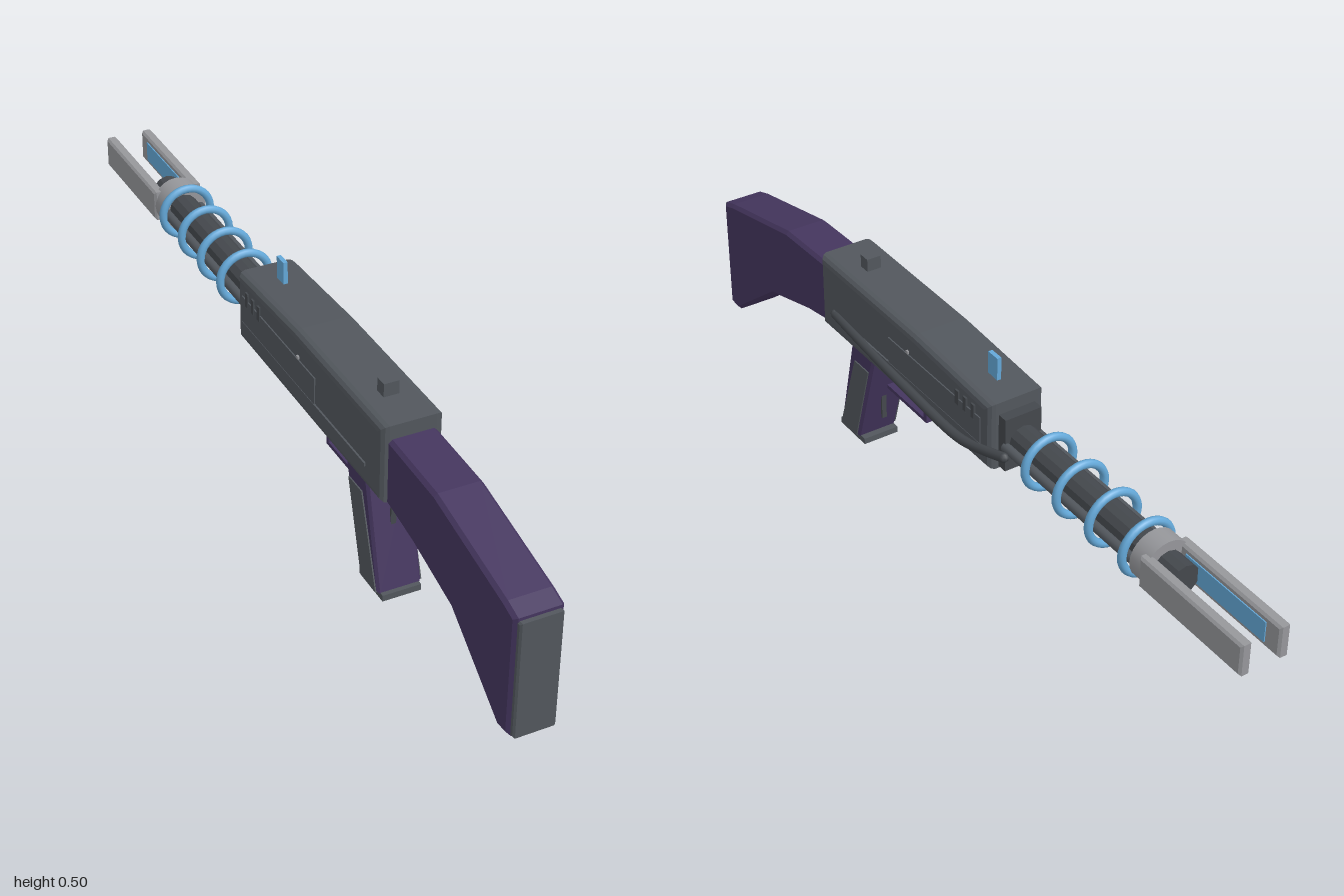
import * as THREE from 'three';

const CX = -0.012; // centre line of the body
const AXIS_Y = 0.35; // height of the barrel axis

export function createModel() {
  const root = new THREE.Group();
  root.name = 'rifle';
  const mat = (name, color) => {
    const m = new THREE.MeshStandardMaterial({ color });
    m.name = name;
    return m;
  };
  const steel = mat('gunmetal', 0x52575d);
  const dark = mat('darkMetal', 0x44484d);
  const purple = mat('purple', 0x45365f);
  const blue = mat('blue', 0x64a8d8);
  const silver = mat('silver', 0x96979b);

  const add = (name, geo, m, x = 0, y = 0, z = 0) => {
    const mesh = new THREE.Mesh(geo, m);
    mesh.name = name;
    mesh.position.set(x, y, z);
    root.add(mesh);
    return mesh;
  };
  // Box given by its limits on each axis
  const box = (name, m, [x0, x1], [y0, y1], [z0, z1]) =>
    add(name, new THREE.BoxGeometry(x1 - x0, y1 - y0, z1 - z0), m,
      (x0 + x1) / 2, (y0 + y1) / 2, (z0 + z1) / 2);
  // Side profile of [z, y] points, extruded across x with bevelled edges
  const profile = (name, m, pts, width, bevel = 0, segs = 1, x = CX) => {
    const geo = new THREE.ExtrudeGeometry(new THREE.Shape(pts.map(p => new THREE.Vector2(...p))), {
      depth: width - 2 * bevel, bevelEnabled: bevel > 0, bevelThickness: bevel,
      bevelSize: bevel, bevelOffset: -bevel, bevelSegments: segs,
    });
    geo.translate(0, 0, -(width - 2 * bevel) / 2).rotateY(-Math.PI / 2);
    return add(name, geo, m, x);
  };
  // Cylinder lying along z
  const rod = (name, m, r, z0, z1, x = CX, y = AXIS_Y, sides = 16) =>
    add(name, new THREE.CylinderGeometry(r, r, Math.abs(z1 - z0), sides).rotateX(Math.PI / 2),
      m, x, y, (z0 + z1) / 2);

  // Stock and butt plate
  profile('stock', purple, [[0.99, 0.063], [0.99, 0.347], [0.95, 0.36], [0.68, 0.42], [0.48, 0.427],
    [0.48, 0.272], [0.6, 0.25], [0.76, 0.205], [0.95, 0.06]], 0.108, 0.008);
  profile('buttPlate', steel, [[1, 0.063], [1, 0.34], [0.98, 0.34], [0.98, 0.063]], 0.094, 0.004);

  // Receiver body with rounded edges
  profile('receiver', steel, [[0.495, 0.275], [0.495, 0.459], [0.1, 0.459], [-0.19, 0.444],
    [-0.19, 0.279]], 0.14, 0.018, 3);
  box('receiverNose', dark, [CX - 0.045, CX + 0.045], [0.285, 0.415], [-0.215, -0.18]);

  // Raised side panels, slots and pin
  for (const s of [-1, 1]) {
    const side = (name, m, y, z, t = 0.004) => {
      const a = CX + s * 0.068, b = CX + s * (0.07 + t);
      return box(name, m, [Math.min(a, b), Math.max(a, b)], y, z);
    };
    side('sidePanel', steel, [0.335, 0.4], [-0.16, 0.2], 0.003);
    side('sideRib', steel, [0.328, 0.336], [-0.16, 0.43]);
    for (let i = 0; i < 3; i++) {
      side('sideSlot', dark, [0.385, 0.42], [-0.14 + i * 0.03, -0.128 + i * 0.03], 0.004);
    }
    side('sidePin', silver, [0.402, 0.409], [0.117, 0.125], 0.004);
  }

  // Curved operating rod on the model's left side
  const path = new THREE.CatmullRomCurve3([
    [0.057, 0.332, 0.435], [0.064, 0.327, 0.3], [0.07, 0.318, 0.08],
    [0.07, 0.315, -0.1], [0.062, 0.33, -0.18], [0.054, 0.345, -0.24],
  ].map(p => new THREE.Vector3(...p)));
  add('operatingRod', new THREE.TubeGeometry(path, 30, 0.011, 8), dark);
  for (const i of [0, 1]) {
    add('rodCap', new THREE.SphereGeometry(0.011, 8, 6), dark).position.copy(path.getPoint(i));
  }

  // Sights
  box('rearSight', steel, [-0.029, 0.006], [0.45, 0.49], [0.372, 0.4]);
  box('frontSight', blue, [-0.017, -0.007], [0.44, 0.502], [-0.124, -0.09]);

  // Grip with grey side plates and a base
  profile('grip', purple, [[0.395, 0.28], [0.3, 0.28], [0.38, 0.012], [0.458, 0.012]], 0.102, 0.006);
  for (const s of [-1, 1]) {
    profile('gripPlate', steel, [[0.382, 0.228], [0.323, 0.228], [0.385, 0.015], [0.452, 0.015]],
      0.008, 0, 1, CX + s * 0.05);
  }
  box('gripBase', steel, [-0.057, 0.033], [0, 0.015], [0.362, 0.468]);
  box('gripFrontPin', dark, [CX - 0.006, CX + 0.006], [0.07, 0.135], [0.344, 0.349]);
  box('gripRearPin', dark, [CX - 0.006, CX + 0.006], [0.14, 0.215], [0.419, 0.424]);

  // Trigger and guard
  box('guardBottom', purple, [CX - 0.014, CX + 0.014], [0.182, 0.191], [0.14, 0.305]);
  box('guardFront', purple, [CX - 0.014, CX + 0.014], [0.182, 0.28], [0.14, 0.151]);
  profile('trigger', dark, [[0.216, 0.28], [0.2, 0.28], [0.183, 0.215], [0.19, 0.213]], 0.014);

  // Barrel with rails along its sides
  const barrel = rod('barrel', dark, 0.035, -0.19, -0.76, CX, AXIS_Y, 12);
  barrel.geometry = barrel.geometry.toNonIndexed();
  barrel.geometry.computeVertexNormals();
  for (const s of [-1, 1]) rod('sideRail', steel, 0.011, -0.21, -0.67, CX + s * 0.042, 0.345, 10);

  // Glowing coil rings
  for (let i = 0; i < 4; i++) {
    add('coilRing', new THREE.TorusGeometry(0.06, 0.0095, 10, 32), blue,
      CX, AXIS_Y, -0.308 - i * 0.11);
  }

  // Collar and forked muzzle
  rod('collar', silver, 0.057, -0.658, -0.705, CX, AXIS_Y, 24);
  for (const s of [-1, 1]) {
    profile('prong', silver, [[-0.69, 0.313], [-0.69, 0.387], [-1, 0.387], [-1, 0.313]],
      0.026, 0.005, 1, CX + s * 0.046);
    const x = CX + s * 0.0325;
    box('prongInlay', blue, [x - 0.002, x + 0.002], [0.326, 0.374], [-0.96, -0.72]);
  }
  return root;
}
